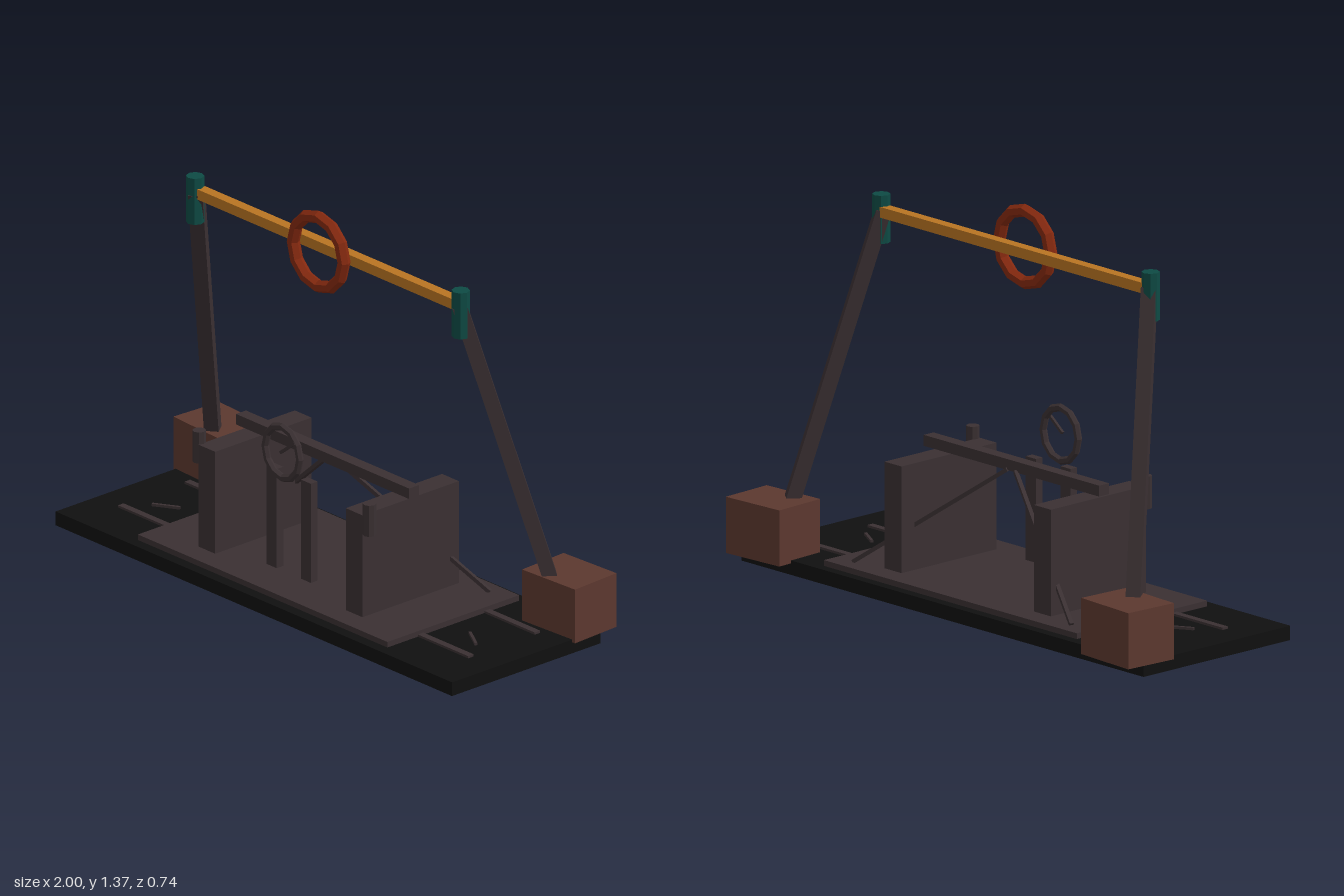
import * as THREE from 'three';

const material = (name, color) => {
  const m = new THREE.MeshStandardMaterial({ color });
  m.name = name;
  return m;
};

export function createModel() {
  const group = new THREE.Group();
  const black = material('black base', 0x101010);
  const iron = material('dark iron', 0x3a3032);
  const brown = material('brown block', 0x5c382f);
  const teal = material('teal', 0x0e4a44);
  const amber = material('amber', 0xb87422);
  const red = material('rust red', 0x85290f);

  // Faceted mesh: unshared vertices give one normal per face
  const add = (name, geometry, mat, x, y, z) => {
    const g = geometry.index ? geometry.toNonIndexed() : geometry;
    g.computeVertexNormals();
    const mesh = new THREE.Mesh(g, mat);
    mesh.name = name;
    mesh.position.set(x, y, z);
    group.add(mesh);
    return mesh;
  };
  const box = (name, mat, w, h, d, x, y, z) =>
    add(name, new THREE.BoxGeometry(w, h, d), mat, x, y, z);

  // Square bar running between two points
  const beam = (name, mat, from, to, w, h = w) => {
    const a = new THREE.Vector3(...from), b = new THREE.Vector3(...to);
    const mid = a.clone().add(b).multiplyScalar(0.5);
    const mesh = box(name, mat, w, h, a.distanceTo(b), mid.x, mid.y, mid.z);
    mesh.lookAt(b);
    return mesh;
  };

  // Base slab, raised plate and floor rails
  box('base', black, 1.97, 0.05, 0.67, 0, 0.025, 0.035);
  box('floorPlate', iron, 1.24, 0.02, 0.595, 0, 0.06, 0.0325);
  for (const z of [-0.12, 0.18]) box('floorRail', iron, 1.74, 0.012, 0.025, 0, 0.052, z);

  // Crossbar over the two walls
  box('crossbar', iron, 0.86, 0.038, 0.045, 0, 0.471, 0.037);

  for (const s of [-1, 1]) {
    // Corner block, leaning leg and its sleeve
    const block = box('cornerBlock', brown, 0.247, 0.195, 0.198, s * 0.869, 0.1375, -0.265);
    block.rotation.y = s * 0.06;
    beam('leg', iron, [s * 0.851, 0.15, -0.224], [s * 0.653, 1.22, 0.036], 0.05);
    add('sleeve', new THREE.CylinderGeometry(0.031, 0.031, 0.167, 8), teal, s * 0.66, 1.193, 0.035);

    // Wall, hanging peg, front post and rear brace
    box('wall', iron, 0.083, 0.37, 0.435, s * 0.366, 0.255, 0.032);
    add('peg', new THREE.CylinderGeometry(0.023, 0.023, 0.113, 8), iron, s * 0.423, 0.427, 0.232);
    box('post', iron, 0.05, 0.36, 0.03, s * 0.085, 0.27, 0.197);
    beam('brace', iron, [s * 0.02, 0.455, 0.015], [s * 0.535, 0.072, -0.21], 0.014);

    // Short strips lying on the base
    beam('floorStrip', iron, [s * 0.72, 0.054, 0.048], [s * 0.805, 0.054, 0.098], 0.01);
  }

  // Top bar with its ring
  box('topBar', amber, 1.3, 0.037, 0.038, 0, 1.22, 0.03);
  add('ring', new THREE.TorusGeometry(0.126, 0.0225, 6, 12), red, 0, 1.22, 0.077);

  // Dial with a needle
  const dial = add('dial', new THREE.TorusGeometry(0.086, 0.013, 6, 12), iron, 0, 0.538, 0.24);
  dial.scale.y = 1.08;
  beam('needle', iron, [0, 0.54, 0.248], [0.072, 0.596, 0.248], 0.01);

  return group;
}
